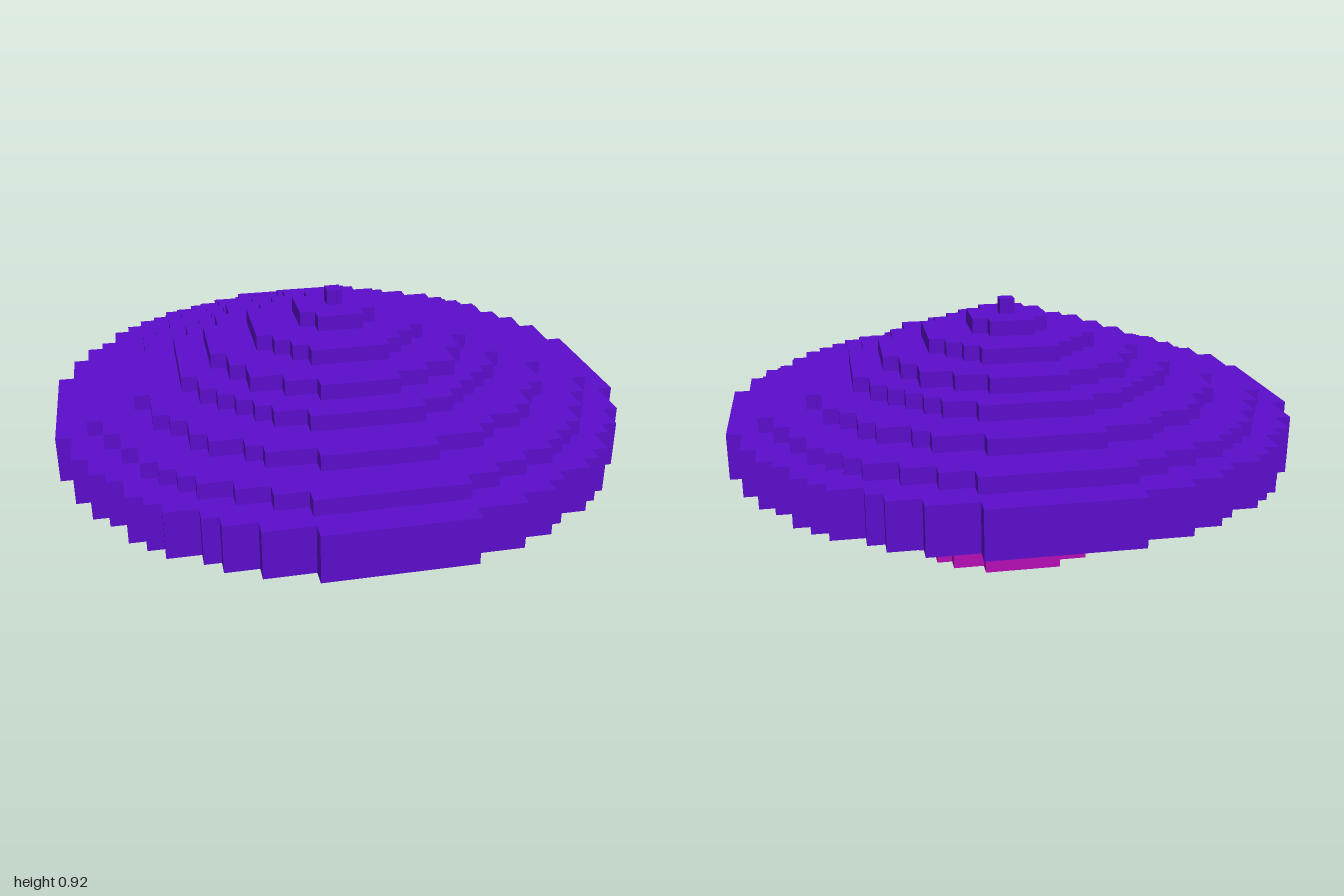
import * as THREE from 'three';
import { mergeGeometries } from 'three/addons/utils/BufferGeometryUtils.js';

const U = 2 / 37; // size of one block

// Half width, in blocks, of a blocky disc at row z (-1 when the row is empty)
function halfWidth(radius, z) {
  const d = radius * radius - z * z;
  return d < 0 ? -1 : Math.floor(Math.sqrt(d)) + 0.5;
}

// Solid blocky disc from layer y0 to layer y1
function discGeometry(radius, y0, y1) {
  const n = Math.floor(radius);
  const right = [];
  for (let z = -n; z <= n; z++) {
    const h = halfWidth(radius, z);
    if (z === -n || h !== halfWidth(radius, z - 1)) right.push([h, z - 0.5]);
    if (z === n || h !== halfWidth(radius, z + 1)) right.push([h, z + 0.5]);
  }
  const left = right.map(([x, z]) => [-x, z]).reverse();
  const points = [...right, ...left].map(([x, z]) => new THREE.Vector2(x * U, z * U));
  const geometry = new THREE.ExtrudeGeometry(new THREE.Shape(points), {
    depth: (y1 - y0) * U,
    bevelEnabled: false,
  });
  return geometry.rotateX(-Math.PI / 2).translate(0, y0 * U, 0);
}

// Blocky ring made of one run of blocks per row and side
function ringGeometry(outer, inner, y0, y1) {
  const runs = [];
  const addRun = (x0, x1, z) => runs.push(
    new THREE.BoxGeometry((x1 - x0) * U, (y1 - y0) * U, U)
      .translate((x0 + x1) / 2 * U, (y0 + y1) / 2 * U, z * U));
  const n = Math.floor(outer);
  for (let z = -n; z <= n; z++) {
    const a = halfWidth(outer, z);
    const b = halfWidth(inner, z);
    if (b < 0) {
      addRun(-a, a, z);
    } else if (a > b) {
      addRun(b, a, z);
      addRun(-a, -b, z);
    }
  }
  return mergeGeometries(runs);
}

export function createModel() {
  const model = new THREE.Group();
  const purple = new THREE.MeshStandardMaterial({ color: 0x5b0dcc });
  purple.name = 'purple';
  const magenta = new THREE.MeshStandardMaterial({ color: 0xb60eb6 });
  magenta.name = 'magenta';

  const add = (parent, name, geometry, material) => {
    const mesh = new THREE.Mesh(geometry, material);
    mesh.name = name;
    parent.add(mesh);
  };

  // Stepped stem: [radius, bottom layer, top layer]
  const stem = new THREE.Group();
  stem.name = 'stem';
  [[6.5, 0, 2], [4.5, 2, 4], [2.5, 4, 9]].forEach(([r, y0, y1], i) =>
    add(stem, `stemStep${i + 1}`, discGeometry(r, y0, y1), magenta));

  // Cap: hanging rim, ceiling and stepped dome
  const cap = new THREE.Group();
  cap.name = 'cap';
  add(cap, 'capRim', ringGeometry(18.5, 17.5, 7, 9), purple);
  add(cap, 'capCeiling', discGeometry(18.5, 9, 10), purple);
  [16.5, 13.5, 10.5, 8.5, 5.5, 2.5, 0.5].forEach((r, i) =>
    add(cap, `capStep${i + 1}`, discGeometry(r, 10 + i, 11 + i), purple));

  model.add(stem, cap);
  return model;
}
